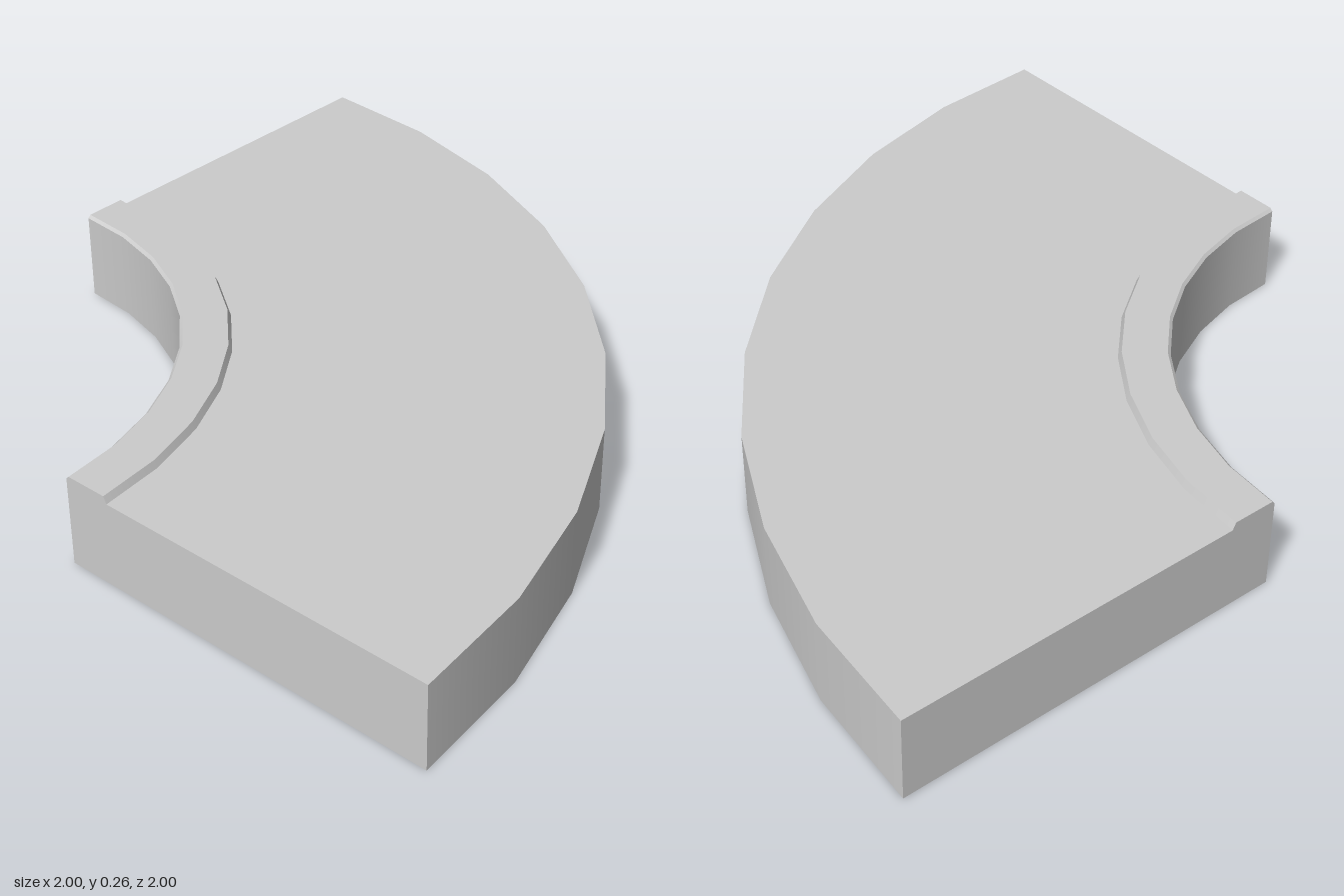
import * as THREE from 'three';
import { mergeGeometries } from 'three/addons/utils/BufferGeometryUtils.js';

const SEGMENTS = 9;
const INNER = 0.905, OUTER = 2, CURB = 1.04;
const SLAB_TOP = 0.237, CURB_TOP = 0.256;

// Sweeps a closed [radius, height] profile through a quarter turn: smooth along the arc,
// sharp between the profile's edges. Edges listed in skip are left open.
function quarterSweep(name, profile, material, skip = []) {
  const points = profile.map(([r, y]) => new THREE.Vector2(r, y));
  const pieces = [];
  points.forEach((p, i) => {
    if (skip.includes(i)) return;
    const next = points[(i + 1) % points.length];
    pieces.push(new THREE.LatheGeometry([p, next], SEGMENTS, 0, Math.PI / 2));
  });

  // flat ends facing -x and -z
  pieces.push(new THREE.ShapeGeometry(new THREE.Shape(points)).rotateY(-Math.PI / 2));
  const mirrored = points.map((p) => new THREE.Vector2(-p.x, p.y));
  pieces.push(new THREE.ShapeGeometry(new THREE.Shape(mirrored)).rotateY(Math.PI));

  const mesh = new THREE.Mesh(mergeGeometries(pieces), material);
  mesh.name = name;
  mesh.position.set(-1, 0, -1); // arc centre at the back right corner
  return mesh;
}

export function createModel() {
  const model = new THREE.Group();
  model.name = 'curvedCorner';
  const material = new THREE.MeshStandardMaterial({ color: 0xcccccc });

  // main slab; the strip of its top under the curb stays open
  model.add(quarterSweep('slab', [
    [INNER, 0], [OUTER, 0], [OUTER, SLAB_TOP], [CURB, SLAB_TOP], [INNER, SLAB_TOP],
  ], material, [3]));

  // low raised curb along the inner arc, with bevelled edges
  model.add(quarterSweep('curb', [
    [INNER, SLAB_TOP], [CURB, SLAB_TOP], [CURB - 0.009, CURB_TOP],
    [INNER + 0.008, CURB_TOP], [INNER, CURB_TOP - 0.008],
  ], material, [0]));

  return model;
}
